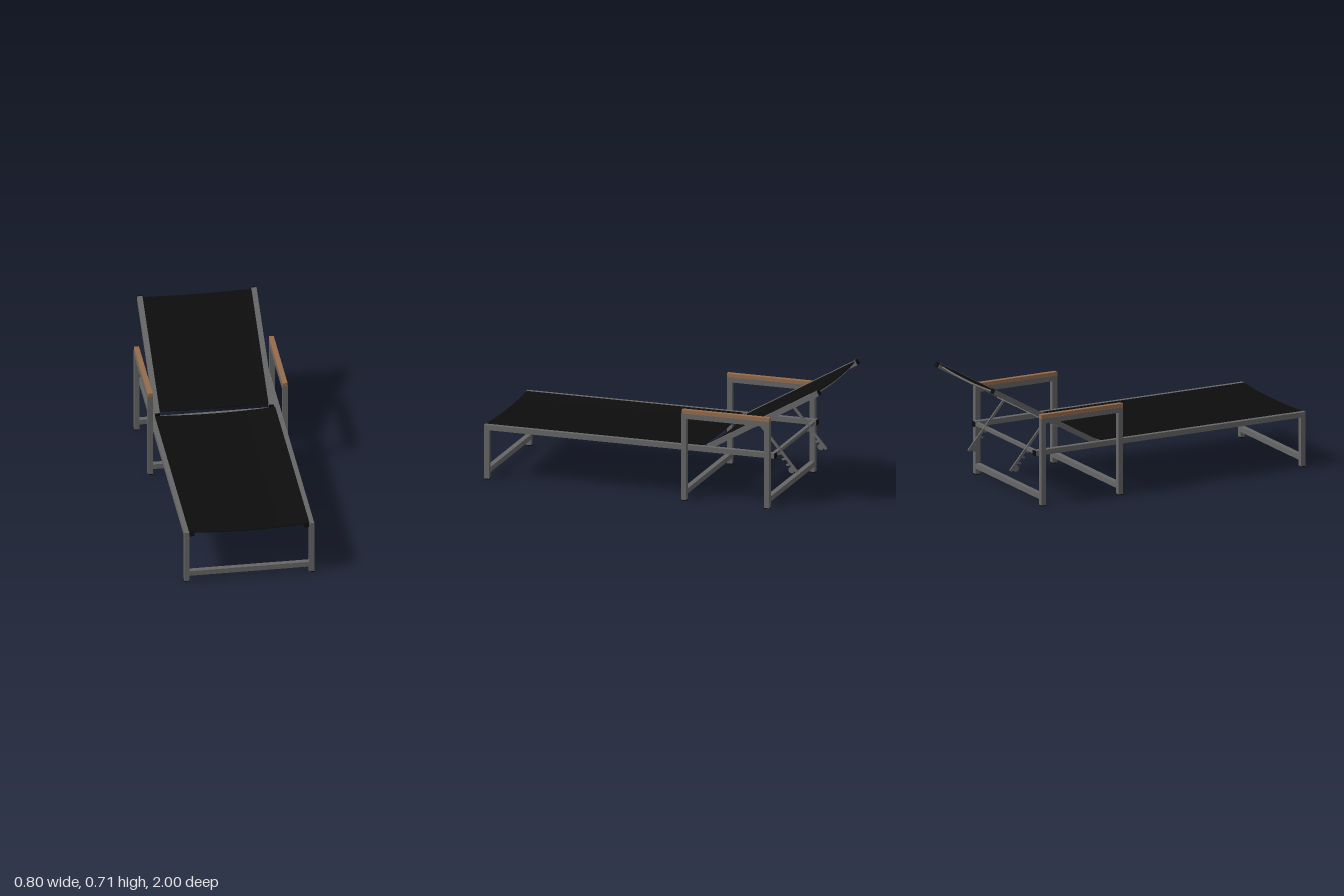
import * as THREE from 'three';

export function createModel() {
  const model = new THREE.Group();
  model.name = 'sunLounger';
  const mat = (name, color) => Object.assign(new THREE.MeshStandardMaterial({ color }), { name });
  const metal = mat('greyMetal', 0x666666);
  const black = mat('blackFabric', 0x0d0d0d);
  const wood = mat('armrestWood', 0x966c4c);

  const add = (parent, name, geometry, material) => {
    const mesh = new THREE.Mesh(geometry, material);
    mesh.name = name;
    parent.add(mesh);
    return mesh;
  };
  // Box given by its limits on each axis
  const box = (parent, name, m, x0, x1, y0, y1, z0, z1) => {
    const mesh = add(parent, name, new THREE.BoxGeometry(Math.abs(x1 - x0), y1 - y0, z1 - z0), m);
    mesh.position.set((x0 + x1) / 2, (y0 + y1) / 2, (z0 + z1) / 2);
    return mesh;
  };
  // Sagging strip across the width: a parabola section extruded along z
  const sagStrip = (parent, name, m, halfW, topY, sag, thick, z0, z1) => {
    const N = 16, top = [], under = [];
    for (let i = 0; i <= N; i++) {
      const u = (i / N) * 2 - 1, y = topY - sag * (1 - u * u);
      top.push(new THREE.Vector2(u * halfW, y));
      under.unshift(new THREE.Vector2(u * halfW, y - thick));
    }
    const g = new THREE.ExtrudeGeometry(new THREE.Shape([...top, ...under]), { depth: z1 - z0, bevelEnabled: false });
    g.translate(0, 0, z0);
    return add(parent, name, g, m);
  };

  // Flat support strut with hooked teeth, drawn in the side plane
  const along = [0.648, -0.761], across = [-0.761, -0.648];
  const P = (s, t) => new THREE.Vector2(0.6 + s * along[0] + t * across[0], 0.455 + s * along[1] + t * across[1]);
  const strutPoints = [P(0, -0.007), P(0.355, -0.007), P(0.355, 0.007)];
  for (const s of [0.285, 0.245, 0.205]) {
    strutPoints.push(P(s + 0.014, 0.007), P(s + 0.006, 0.026), P(s - 0.006, 0.026), P(s, 0.007));
  }
  strutPoints.push(P(0, 0.007));
  const strutGeometry = new THREE.ExtrudeGeometry(new THREE.Shape(strutPoints), { depth: 0.01, bevelEnabled: false });
  strutGeometry.translate(0, 0, -0.005).rotateY(Math.PI / 2);

  // Reclined backrest: local -z runs up the back, y = 0 is its upper face
  const back = new THREE.Group();
  back.name = 'backrest';
  back.position.set(0, 0.32, -0.315);
  back.rotation.x = Math.PI / 6;
  model.add(back);

  for (const s of [1, -1]) {
    // Long seat rail, inner sling rail and caps
    box(model, 'seatRail', metal, s * 0.34, s * 0.37, 0.29, 0.32, -0.735, 1);
    box(model, 'railEndCap', black, s * 0.34, s * 0.37, 0.29, 0.32, -0.74, -0.735);
    box(model, 'slingRail', metal, s * 0.315, s * 0.34, 0.293, 0.311, -0.285, 0.985);
    box(model, 'slingRailCap', black, s * 0.312, s * 0.34, 0.291, 0.313, 0.985, 0.993);
    // Front leg
    box(model, 'frontLeg', metal, s * 0.34, s * 0.37, 0.005, 0.29, 0.97, 1);
    box(model, 'footPad', black, s * 0.34, s * 0.37, 0, 0.005, 0.97, 1);
    // Arm frame with two legs and a wooden top
    for (const z of [-0.22, -0.715]) {
      box(model, 'armLeg', metal, s * 0.37, s * 0.4, 0.005, 0.512, z, z + 0.03);
      box(model, 'footPad', black, s * 0.37, s * 0.4, 0, 0.005, z, z + 0.03);
    }
    box(model, 'armBar', metal, s * 0.37, s * 0.4, 0.482, 0.512, -0.685, -0.22);
    box(model, 'armrest', wood, s * 0.37, s * 0.398, 0.512, 0.533, -0.715, -0.19);
    // Backrest side rail
    box(back, 'backRail', metal, s * 0.31, s * 0.34, -0.03, 0, -0.765, -0.005);
    for (const z of [-0.771, -0.005]) box(back, 'backRailCap', black, s * 0.31, s * 0.34, -0.03, 0, z, z + 0.006);
    // Adjustable strut with a rounded end
    add(model, 'strut', strutGeometry, metal).position.x = s * 0.245;
    const end = P(0.324, 0.018);
    const knob = add(model, 'strutEnd', new THREE.CylinderGeometry(0.019, 0.019, 0.01, 20), metal);
    knob.rotation.z = Math.PI / 2;
    knob.position.set(s * 0.245, end.y, -end.x);
  }

  // Low crossbars between each pair of legs
  box(model, 'frontCrossbar', metal, -0.34, 0.34, 0.037, 0.067, 0.97, 1);
  for (const z of [-0.22, -0.715]) box(model, 'legCrossbar', metal, -0.37, 0.37, 0.037, 0.067, z, z + 0.03);
  // Rear bar that the struts hook onto
  box(model, 'strutRestBar', metal, -0.34, 0.34, 0.295, 0.315, -0.73, -0.71);

  // Seat sling and the curved bars under it
  sagStrip(model, 'seatSling', black, 0.343, 0.321, 0.013, 0.005, -0.295, 0.995);
  for (const z of [0.94, 0.52, 0.14, -0.27]) sagStrip(model, 'seatBar', metal, 0.32, 0.313, 0.012, 0.009, z - 0.01, z + 0.01);

  // Back sling, its curved bars and the strut pivot bar
  sagStrip(back, 'backSling', black, 0.312, -0.002, 0.012, 0.005, -0.76, -0.018);
  for (const z of [-0.73, -0.05]) sagStrip(back, 'backBar', metal, 0.312, -0.008, 0.012, 0.009, z - 0.01, z + 0.01);
  box(back, 'strutPivotBar', metal, -0.31, 0.31, -0.034, -0.018, -0.325, -0.309);

  return model;
}
